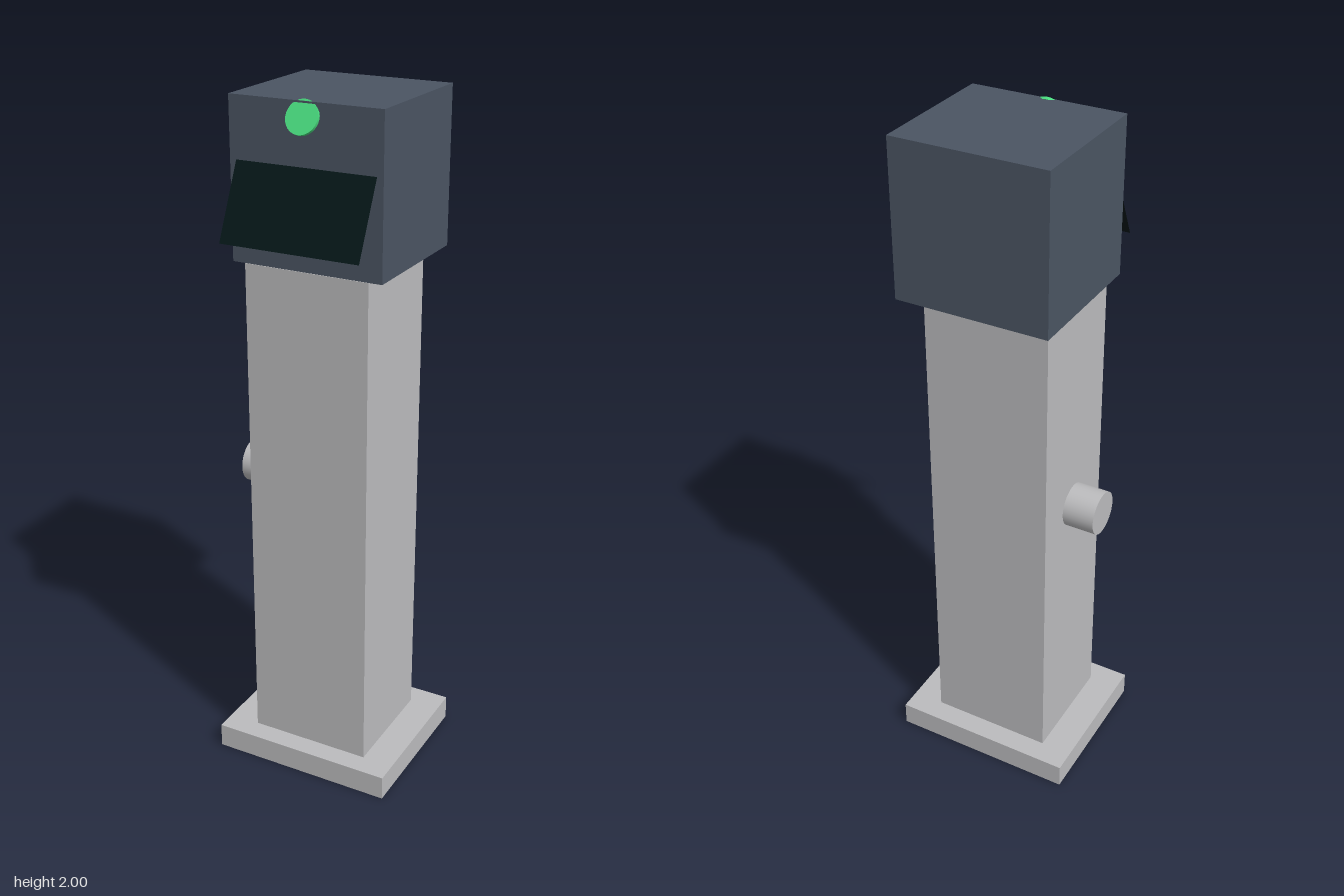
import * as THREE from 'three';

export function createModel() {
  const model = new THREE.Group();
  const mat = (name, color, side = THREE.FrontSide) => {
    const m = new THREE.MeshStandardMaterial({ color, side });
    m.name = name;
    return m;
  };
  const metal = mat('light grey metal', 0xbcbcbe);
  const slate = mat('slate grey', 0x4b5563);
  const glass = mat('dark glass', 0x051718, THREE.DoubleSide);
  const green = mat('signal green', 0x4ade80);

  const add = (name, geometry, material, x, y, z) => {
    const mesh = new THREE.Mesh(geometry, material);
    mesh.name = name;
    mesh.position.set(x, y, z);
    model.add(mesh);
    return mesh;
  };
  // Box given by its half width and its y and z limits
  const box = (name, material, halfX, y0, y1, z0, z1) =>
    add(name, new THREE.BoxGeometry(halfX * 2, y1 - y0, z1 - z0), material, 0, (y0 + y1) / 2, (z0 + z1) / 2);

  // Pedestal
  box('base', metal, 0.278, 0, 0.073, -0.243, 0.22);
  box('column', metal, 0.184, 0.073, 1.555, -0.178, 0.157);
  box('head', slate, 0.222, 1.555, 1.997, -0.252, 0.155);

  // Round socket on the right side
  const socket = add('sideSocket', new THREE.CylinderGeometry(0.064, 0.064, 0.1, 32), metal, -0.228, 0.89, -0.011);
  socket.rotation.z = Math.PI / 2;

  // Screen and indicator light share the same upward tilt
  const tilt = Math.atan2(0.095, 0.2);
  const screen = add('screen', new THREE.PlaneGeometry(0.407, Math.hypot(0.2, 0.095)), glass, 0, 1.73, 0.2025);
  screen.rotation.x = -tilt;

  const light = add('indicatorLight', new THREE.CylinderGeometry(0.046, 0.046, 0.009, 32), green, 0, 1.9585, 0.166);
  light.rotation.x = Math.PI / 2 - tilt;

  return model;
}
